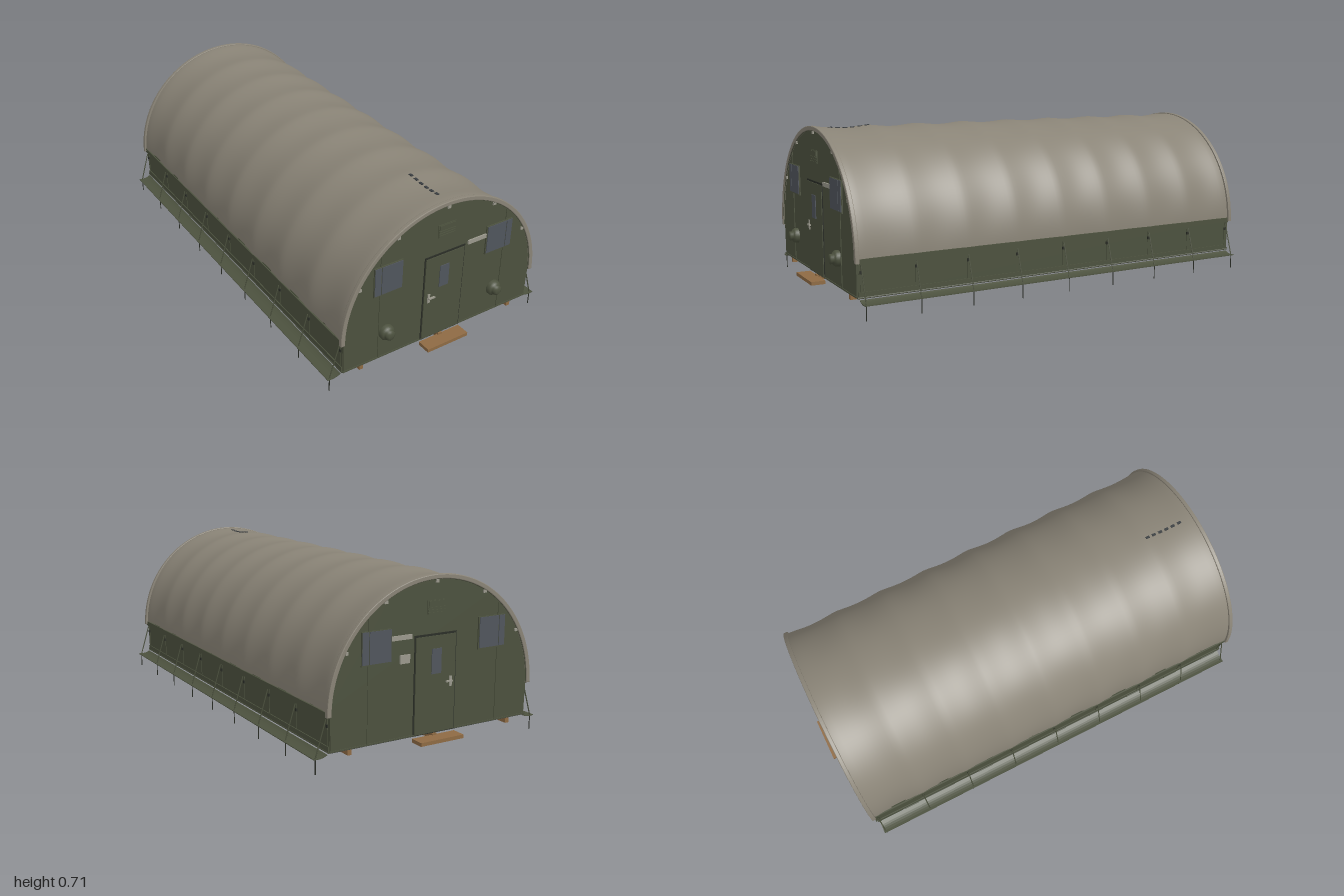
import * as THREE from 'three';

const mat = (name, color, side = THREE.FrontSide) => {
  const m = new THREE.MeshStandardMaterial({ color, side });
  m.name = name;
  return m;
};
const M = {
  canvas: mat('taupe canvas', 0x898376, THREE.DoubleSide),
  green: mat('olive canvas', 0x4c513e, THREE.DoubleSide),
  dark: mat('dark gap', 0x2b2e27),
  glass: mat('window grey', 0x50555c),
  floor: mat('floor black', 0x393d40),
  wood: mat('wood', 0x8e6a43),
  metal: mat('pale metal', 0x9a988c),
};

const BASE = 0.22;      // height where the arch springs
const BAY = 0.23;       // rib spacing
const WALL_X = 0.473;
const FACE = 0.938;     // outer face of the end walls

export function createModel() {
  const model = new THREE.Group();
  model.name = 'archTent';

  const add = (parent, name, geo, material, x = 0, y = 0, z = 0) => {
    const m = new THREE.Mesh(geo, material);
    m.name = name;
    m.position.set(x, y, z);
    parent.add(m);
    return m;
  };
  const box = (parent, name, material, w, h, d, x, y, z) =>
    add(parent, name, new THREE.BoxGeometry(w, h, d), material, x, y, z);
  const rod = (parent, name, material, a, b, r) => {
    const from = new THREE.Vector3(...a), to = new THREE.Vector3(...b);
    const dir = to.clone().sub(from);
    const m = add(parent, name, new THREE.CylinderGeometry(r, r, dir.length(), 6), material);
    m.position.copy(from).lerp(to, 0.5);
    m.quaternion.setFromUnitVectors(new THREE.Vector3(0, 1, 0), dir.normalize());
    return m;
  };

  // Roof canvas: a half tube sagging between the ribs, with faint folds
  const sag = (z) => 0.0085 * Math.abs(Math.sin((Math.PI * z) / BAY)) ** 1.3;
  const roofPoint = (a, z) => {
    const fold = 0.001 * Math.sin(a * 9 + z * 5) * Math.sin((Math.PI * z) / BAY) ** 2;
    const r = 0.486 - sag(z) + fold;
    return [Math.cos(a) * (r - 0.005), BASE + Math.sin(a) * r, z];
  };
  const nA = 64, nZ = 96, pos = [], idx = [];
  for (let j = 0; j <= nZ; j++) {
    const z = -0.935 + (1.87 * j) / nZ;
    for (let i = 0; i <= nA; i++) pos.push(...roofPoint((Math.PI * i) / nA, z));
  }
  for (let j = 0; j < nZ; j++) {
    for (let i = 0; i < nA; i++) {
      const a = j * (nA + 1) + i, b = a + nA + 1;
      idx.push(a, a + 1, b, b, a + 1, b + 1);
    }
  }
  const roof = new THREE.BufferGeometry();
  roof.setAttribute('position', new THREE.Float32BufferAttribute(pos, 3));
  roof.setIndex(idx);
  roof.computeVertexNormals();
  add(model, 'roofCanvas', roof, M.canvas);

  // Row of lacing slots in the roof
  for (let i = 0; i < 6; i++) {
    const z = 0.7 + i * 0.033;
    box(model, 'roofSlot', M.floor, 0.011, 0.006, 0.018, 0, BASE + 0.486 - sag(z), z);
  }

  // Shared outlines: end wall and rim ring
  const wallShape = new THREE.Shape();
  wallShape.moveTo(-0.47, 0.08);
  wallShape.lineTo(0.47, 0.08);
  wallShape.lineTo(0.474, BASE);
  wallShape.absarc(0, BASE, 0.474, 0, Math.PI, false);
  wallShape.closePath();
  const wallGeo = new THREE.ExtrudeGeometry(wallShape, { depth: 0.012, bevelEnabled: false, curveSegments: 48 });

  const ringShape = new THREE.Shape();
  ringShape.absarc(0, BASE, 0.487, 0, Math.PI, false);
  ringShape.absarc(0, BASE, 0.474, Math.PI, 0, true);
  ringShape.closePath();
  const ringGeo = new THREE.ExtrudeGeometry(ringShape, {
    depth: 0.012, bevelThickness: 0.003, bevelSize: 0.003, bevelSegments: 2, curveSegments: 48,
  });

  for (const s of [1, -1]) {
    const end = new THREE.Group();
    end.name = s > 0 ? 'frontEnd' : 'backEnd';
    model.add(end);
    const plate = (name, material, x, y, w, h, layer = 1) =>
      box(end, name, material, w, h, 0.003 * layer, x, y, s * (FACE + 0.0015 * layer));

    add(end, 'endWall', wallGeo, M.green, 0, 0, s > 0 ? FACE - 0.012 : -FACE);
    add(end, 'archRim', ringGeo, M.canvas, 0, 0, s > 0 ? 0.932 : -0.944);
    add(end, 'rimPiping', new THREE.TorusGeometry(0.472, 0.0025, 6, 64, Math.PI), M.green, 0, BASE, s * 0.942);
    plate('bottomHem', M.green, 0, 0.083, 0.95, 0.006);

    // Door with shadow gap, window and handle
    plate('doorGap', M.dark, 0, 0.279, 0.2, 0.4);
    plate('doorLeaf', M.green, 0, 0.277, 0.19, 0.388, 2);
    plate('doorWindow', M.glass, -0.002, 0.37, 0.046, 0.1, 3);
    plate('doorLock', M.metal, -0.073, 0.281, 0.012, 0.042, 3);
    box(end, 'doorHandle', M.metal, 0.03, 0.006, 0.008, -0.062, 0.283, s * (FACE + 0.013));

    // Windows, panel seams and rim buckles
    for (const k of [1, -1]) {
      plate('panelSeam', M.green, k * 0.31, 0.325, 0.004, 0.49);
      plate('windowFrame', M.green, k * 0.275, 0.455, 0.134, 0.132, 2);
      plate('windowPane', M.glass, k * 0.26, 0.457, 0.096, 0.124, 3);
      plate('windowPane', M.glass, k * 0.326, 0.457, 0.028, 0.124, 3);
      plate('rimBuckle', M.metal, k * 0.235, 0.622, 0.014, 0.012, 2);
      plate('rimBuckle', M.metal, k * 0.405, 0.448, 0.012, 0.012, 2);
    }
    plate('rimBuckle', M.metal, 0, 0.683, 0.014, 0.012, 2);

    // Louvred vent and blank sign plates
    plate('ventFrame', M.green, 0, 0.582, 0.086, 0.056);
    plate('ventHood', M.green, 0, 0.597, 0.078, 0.02, 2);
    for (let i = 0; i < 3; i++) plate('ventSlat', M.green, 0, 0.58 - i * 0.01, 0.078, 0.006, 2);
    plate('signPlate', M.metal, 0.161, 0.48, 0.094, 0.018, 2);
    if (s < 0) plate('noticePlate', M.metal, 0.145, 0.395, 0.045, 0.034, 2);

    // Wooden step
    box(end, 'woodenStep', M.wood, 0.205, 0.015, 0.06, 0, 0.064, s * 0.97);
    box(end, 'stepBlock', M.wood, 0.02, 0.008, 0.012, 0, 0.075, s * 0.942);
  }

  // Tied duct ports on the front
  const portProfile = [[0.033, 0], [0.033, 0.014], [0.027, 0.022], [0.019, 0.026], [0.021, 0.036], [0.012, 0.041], [0, 0.041]]
    .map(([r, h]) => new THREE.Vector2(r, h));
  for (const k of [1, -1]) {
    const port = add(model, 'ductPort', new THREE.LatheGeometry(portProfile, 24), M.green, k * 0.275, 0.2, FACE);
    port.rotation.x = Math.PI / 2;
  }

  // Floor and its bearers
  box(model, 'floor', M.floor, 0.94, 0.008, 1.868, 0, 0.08, 0);
  for (const x of [-0.385, 0, 0.385]) box(model, 'floorBeam', M.wood, 0.018, 0.021, 1.87, x, 0.0655, 0);

  // Ground flap cross-section, swept along the side
  const flapShape = new THREE.Shape();
  flapShape.moveTo(0.478, 0.07);
  flapShape.quadraticCurveTo(0.5, 0.056, 0.537, 0.061);
  flapShape.lineTo(0.537, 0.064);
  flapShape.quadraticCurveTo(0.5, 0.059, 0.479, 0.073);
  flapShape.closePath();
  const flapGeo = new THREE.ExtrudeGeometry(flapShape, { depth: 1.856, bevelEnabled: false, curveSegments: 6 });

  for (const k of [1, -1]) {
    const side = new THREE.Group();
    side.name = k > 0 ? 'leftSide' : 'rightSide';
    model.add(side);
    box(side, 'sideWall', M.green, 0.006, 0.15, 1.86, k * (WALL_X - 0.003), 0.157, 0);
    box(side, 'wallHem', M.green, 0.008, 0.02, 1.86, k * WALL_X, 0.092, 0);
    box(side, 'eaveBand', M.green, 0.006, 0.022, 1.87, k * 0.48, 0.222, 0);
    rod(side, 'baseCord', M.green, [k * 0.475, 0.08, -0.935], [k * 0.475, 0.08, 0.935], 0.004);
    const flap = add(side, 'groundFlap', flapGeo, M.green, 0, 0, -0.928);
    if (k < 0) flap.rotation.y = Math.PI, flap.position.z = 0.928;

    // Guy ropes, straps and stakes at every rib
    for (let i = -4; i <= 4; i++) {
      const z = i * BAY;
      rod(side, 'stake', M.dark, [k * 0.525, 0, z], [k * 0.525, 0.06, z], 0.002);
      rod(side, 'guyRope', M.green, [k * 0.481, 0.205, z], [k * 0.525, 0.062, z], 0.0025);
      box(side, 'wallStrap', M.green, 0.003, 0.125, 0.004, k * 0.474, 0.165, z);
      box(side, 'strapBuckle', M.dark, 0.006, 0.012, 0.01, k * 0.476, 0.18, z);
    }
  }
  return model;
}
